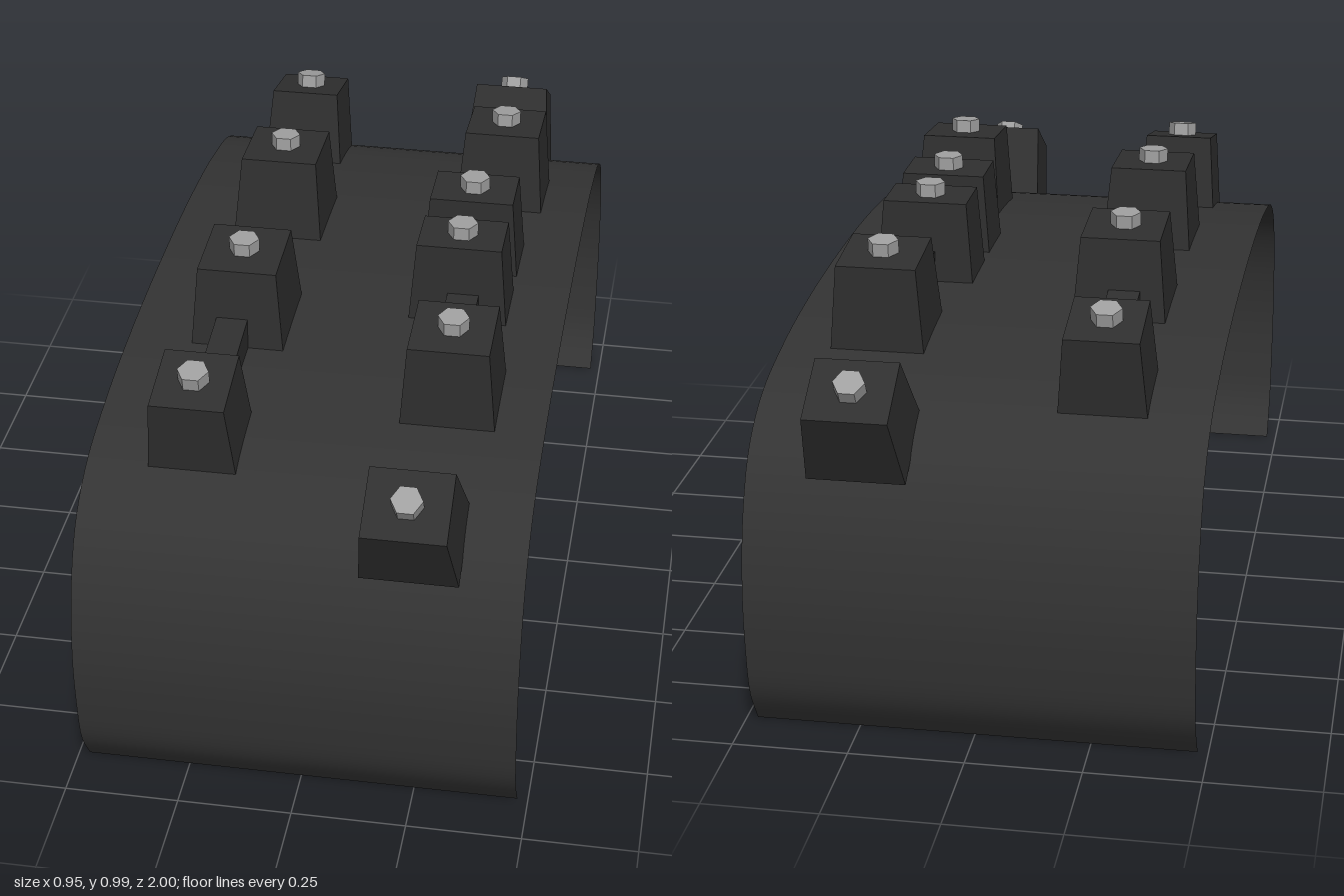
import * as THREE from 'three';

const shellMat = new THREE.MeshStandardMaterial({ name: 'charcoal', color: 0x333333, side: THREE.DoubleSide });
const blockMat = new THREE.MeshStandardMaterial({ name: 'darkCharcoal', color: 0x2f2f2f });
const boltMat = new THREE.MeshStandardMaterial({ name: 'steelGrey', color: 0xa0a0a0 });

// Gives every face its own flat normal
function faceted(geometry) {
  const flat = geometry.toNonIndexed();
  flat.computeVertexNormals();
  return flat;
}

// Box standing on y = 0 whose top is narrower than its base
function taperedBox(baseX, baseZ, topX, topZ, height) {
  const geo = new THREE.BoxGeometry(baseX, height, baseZ);
  geo.translate(0, height / 2, 0);
  const p = geo.attributes.position;
  for (let i = 0; i < p.count; i++) {
    if (p.getY(i) > height / 2) {
      p.setX(i, Math.sign(p.getX(i)) * topX / 2);
      p.setZ(i, Math.sign(p.getZ(i)) * topZ / 2);
    }
  }
  return faceted(geo);
}

// Thin arched sheet: half profile as [z, y], mirrored front to back
function makeShell() {
  const half = [
    [0.875, 0], [0.93, 0.09], [0.95, 0.2], [0.955, 0.34], [0.925, 0.5],
    [0.86, 0.62], [0.75, 0.695], [0.55, 0.742], [0.3, 0.767],
  ];
  const profile = [
    ...half.map(([z, y]) => new THREE.Vector3(0, y, -z)),
    new THREE.Vector3(0, 0.775, 0),
    ...half.slice().reverse().map(([z, y]) => new THREE.Vector3(0, y, z)),
  ];
  const rows = 96;
  const points = new THREE.CatmullRomCurve3(profile, false, 'centripetal').getSpacedPoints(rows);
  const geo = new THREE.PlaneGeometry(0.954, 1, 1, rows);
  const pos = geo.attributes.position;
  for (let i = 0; i < pos.count; i++) {
    const pt = points[Math.floor(i / 2)];
    pos.setXYZ(i, pos.getX(i), pt.y, pt.z);
  }
  geo.computeVertexNormals();
  const shell = new THREE.Mesh(geo, shellMat);
  shell.name = 'archedShell';
  return shell;
}

// Blocks: base centre, tilt in degrees, base and top footprint, height
const blocks = [
  { x: 0.238, y: 0.76, z: 0.107, tilt: 0, base: [0.222, 0.155], top: [0.19, 0.135], h: 0.196 },
  { x: 0.267, y: 0.745, z: 0.457, tilt: 5.5, base: [0.206, 0.208], top: [0.175, 0.175], h: 0.194 },
  { x: -0.25, y: 0.711, z: 0.654, tilt: 12, base: [0.19, 0.182], top: [0.16, 0.17], h: 0.183 },
  { x: -0.23, y: 0.757, z: 0.237, tilt: 3, base: [0.208, 0.234], top: [0.175, 0.185], h: 0.196 },
  { x: 0.238, y: 0.635, z: 0.833, tilt: 32, base: [0.21, 0.185], top: [0.178, 0.157], h: 0.189 },
];

// Bars joining neighbouring blocks: centre, tilt in degrees, length
const bars = [
  { x: 0.25, y: 0.797, z: 0.27, tilt: 2, length: 0.22 },
  { x: -0.241, y: 0.775, z: 0.455, tilt: 8, length: 0.26 },
];

export function createModel() {
  const model = new THREE.Group();
  model.name = 'studdedArch';
  model.add(makeShell());

  const boltGeo = faceted(new THREE.CylinderGeometry(0.034, 0.034, 0.032, 6).rotateY(Math.PI / 6));

  for (const side of [1, -1]) {
    const end = side > 0 ? 'front' : 'back';

    // Tapered blocks, each with a hexagonal bolt head on top
    blocks.forEach((b, i) => {
      const stud = new THREE.Group();
      stud.name = `${end}Stud${i + 1}`;
      const body = new THREE.Mesh(taperedBox(...b.base, ...b.top, b.h), blockMat);
      body.name = 'block';
      const bolt = new THREE.Mesh(boltGeo, boltMat);
      bolt.name = 'boltHead';
      bolt.position.y = b.h + 0.014;
      stud.add(body, bolt);
      stud.position.set(b.x, b.y, b.z * side);
      stud.rotation.x = THREE.MathUtils.degToRad(b.tilt) * side;
      model.add(stud);
    });

    // Connecting bars
    bars.forEach((c, i) => {
      const bar = new THREE.Mesh(new THREE.BoxGeometry(0.07, 0.085, c.length), blockMat);
      bar.name = `${end}Bar${i + 1}`;
      bar.position.set(c.x, c.y, c.z * side);
      bar.rotation.x = THREE.MathUtils.degToRad(c.tilt) * side;
      model.add(bar);
    });
  }
  return model;
}
